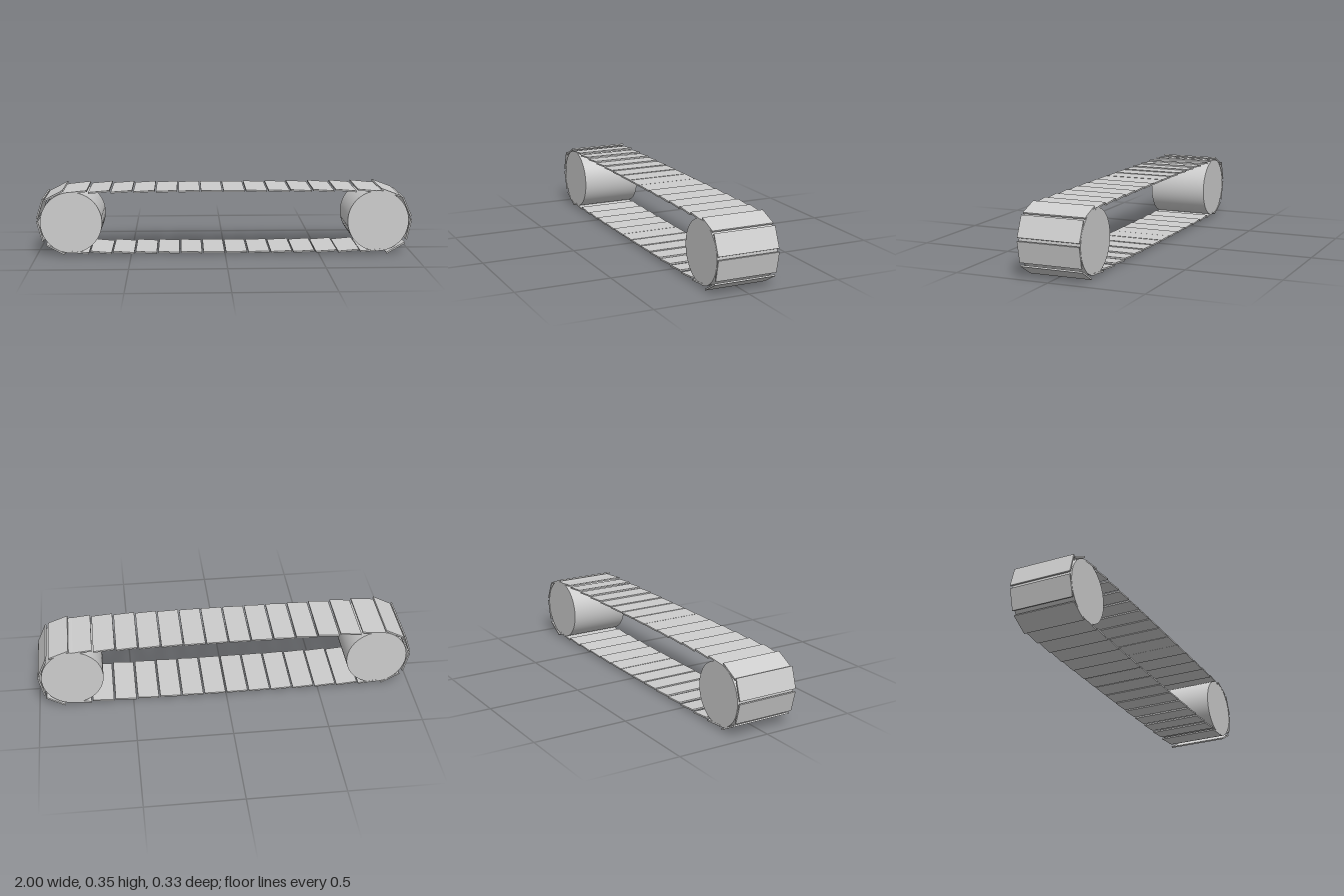
import * as THREE from 'three';

const WIDTH = 0.33, LENGTH = 0.112, THICK = 0.008;
const ROLLER_X = 0.815, ROLLER_Y = 0.18, ROLLER_R = 0.163;

export function createModel() {
  const model = new THREE.Group();
  model.name = 'conveyor';
  const grey = new THREE.MeshStandardMaterial({ color: 0xcccccc });
  grey.name = 'plain grey';

  // End rollers
  const rollerGeo = new THREE.CylinderGeometry(ROLLER_R, ROLLER_R, WIDTH - 0.002, 64);
  rollerGeo.rotateX(Math.PI / 2);
  for (const [name, side] of [['leftRoller', 1], ['rightRoller', -1]]) {
    const roller = new THREE.Mesh(rollerGeo, grey);
    roller.name = name;
    roller.position.set(side * ROLLER_X, ROLLER_Y, 0);
    model.add(roller);
  }

  // Belt of separate flat slats
  const belt = new THREE.Group();
  belt.name = 'belt';
  model.add(belt);
  const slatGeo = new THREE.BoxGeometry(LENGTH, THICK, WIDTH);
  function addSlat(name, x, y, angle) {
    const slat = new THREE.Mesh(slatGeo, grey);
    slat.name = name;
    slat.position.set(x, y, 0);
    slat.rotation.z = angle;
    belt.add(slat);
  }

  // Upper and lower runs, tilting a little more towards the rollers
  for (let i = 0; i < 14; i++) {
    const top = -0.785 + i * 0.1188;
    const bottom = -0.78 + i * 0.12;
    addSlat('upperSlat', top, 0.345 - 0.004 * top * top, -0.13 * top);
    addSlat('lowerSlat', bottom, 0.016 + 0.006 * bottom * bottom, 0.13 * bottom);
  }

  // Slats wrapped round each roller, given by their two ends
  const wraps = [
    [0.826, 0.352, 0.93, 0.313],
    [0.945, 0.307, 0.99, 0.204],
    [0.992, 0.187, 0.968, 0.08],
    [0.962, 0.062, 0.862, 0.005],
    [-0.955, 0.298, -0.853, 0.351],
    [-0.994, 0.205, -0.962, 0.305],
    [-0.994, 0.187, -0.965, 0.08],
    [-0.95, 0.062, -0.85, 0.01],
  ];
  for (const [x1, y1, x2, y2] of wraps) {
    addSlat('endSlat', (x1 + x2) / 2, (y1 + y2) / 2, Math.atan2(y2 - y1, x2 - x1));
  }
  return model;
}
